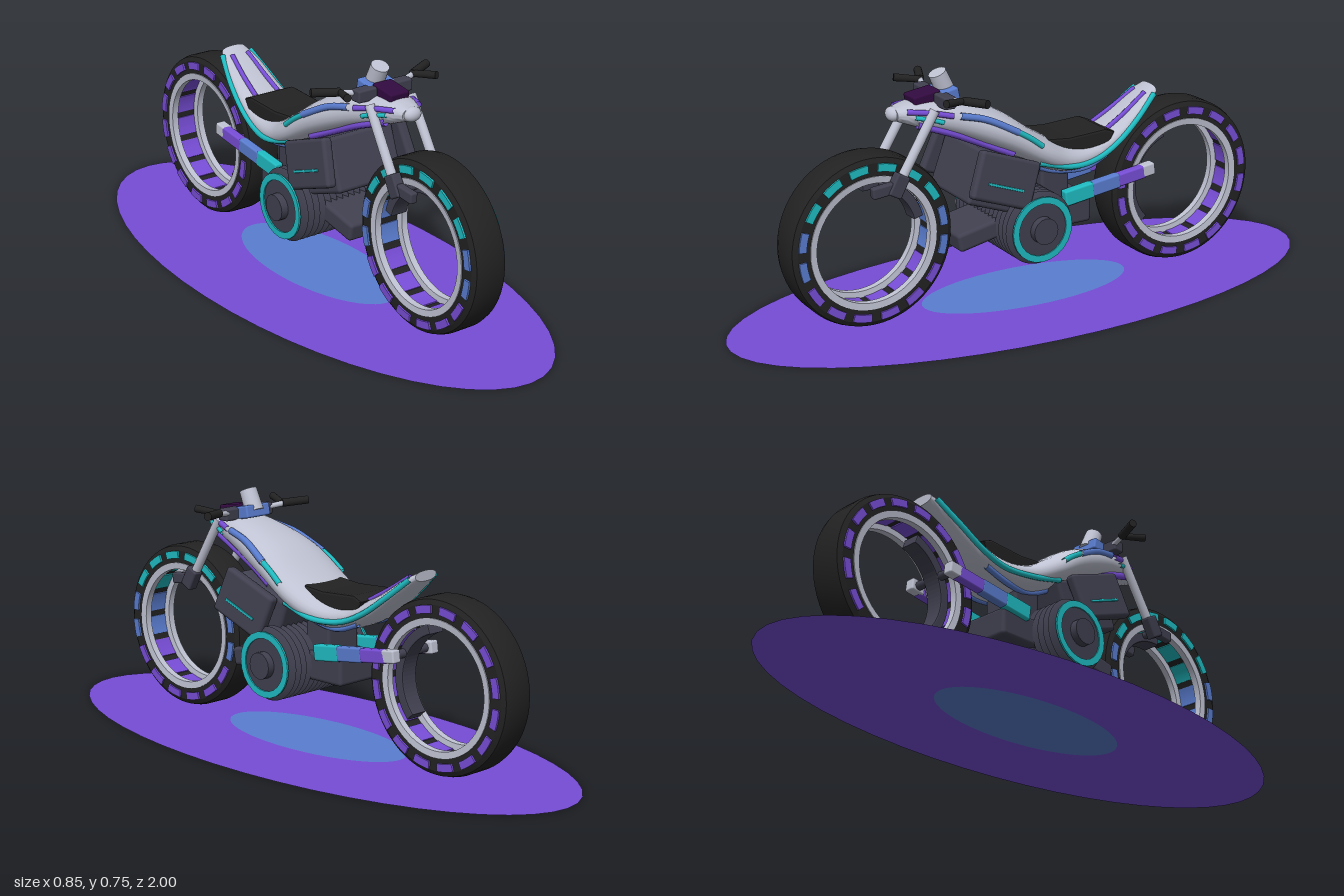
import * as THREE from 'three';
import { toCreasedNormals } from 'three/addons/utils/BufferGeometryUtils.js';
import { RoundedBoxGeometry } from 'three/addons/geometries/RoundedBoxGeometry.js';

const mat = (name, color, side = THREE.FrontSide) => {
  const m = new THREE.MeshStandardMaterial({ color, side });
  m.name = name;
  return m;
};

export function createModel() {
  const root = new THREE.Group();
  root.name = 'hublessMotorcycle';
  const light = mat('silverPaint', 0xbfc2d2);
  const dark = mat('graphite', 0x404050);
  const black = mat('rubber', 0x222222);
  const cyan = mat('cyanGlow', 0x1fbcc2, THREE.DoubleSide);
  const purple = mat('purpleGlow', 0x774dd6, THREE.DoubleSide);
  const blue = mat('blueGlow', 0x5a7dd0, THREE.DoubleSide);
  const plum = mat('plumGlass', 0x320a40);

  const add = (name, geo, material, x = 0, y = 0, z = 0, rx = 0, parent = root) => {
    const m = new THREE.Mesh(geo, material);
    m.name = name;
    m.position.set(x, y, z);
    m.rotation.x = rx;
    parent.add(m);
    return m;
  };
  const box = (w, h, d, r = 0.006) => new RoundedBoxGeometry(w, h, d, 2, r);
  // cylinder running between two points
  const rod = (name, a, b, r1, r2, material) => {
    const A = new THREE.Vector3(...a), B = new THREE.Vector3(...b), d = B.clone().sub(A);
    const m = add(name, new THREE.CylinderGeometry(r2, r1, d.length(), 16), material);
    m.position.copy(A).add(B).multiplyScalar(0.5);
    m.quaternion.setFromUnitVectors(new THREE.Vector3(0, 1, 0), d.normalize());
    return m;
  };
  // lathe turned around the x axis
  const latheX = (pts, seg = 64) => toCreasedNormals(new THREE.LatheGeometry(
    pts.map(p => new THREE.Vector2(...p)), seg).rotateZ(-Math.PI / 2), 0.5);
  // outline in (z, y), extruded evenly along x
  const slab = (shape, width, bevel = 0) => {
    const g = new THREE.ExtrudeGeometry(shape, {
      depth: width - 2 * bevel, curveSegments: 12, bevelEnabled: bevel > 0,
      bevelSize: bevel, bevelThickness: bevel, bevelSegments: 2 });
    return g.translate(0, 0, bevel - width / 2).rotateY(-Math.PI / 2);
  };
  const sector = (r0, r1, a0, a1) => {
    const s = new THREE.Shape();
    s.absarc(0, 0, r1, a0, a1, false);
    s.absarc(0, 0, r0, a1, a0, true);
    s.closePath();
    return s;
  };
  const rad = THREE.MathUtils.degToRad;

  // glowing ground oval with a smaller oval inside
  const oval = (rx, rz) => new THREE.Shape().absellipse(0, 0, rx, rz, 0, Math.PI * 2);
  const outer = oval(0.425, 1);
  outer.holes.push(oval(0.155, 0.36));
  add('groundOval', new THREE.ShapeGeometry(outer, 24).rotateX(-Math.PI / 2), purple, 0, 0.002, 0);
  add('innerOval', new THREE.ShapeGeometry(oval(0.155, 0.36), 24).rotateX(-Math.PI / 2), blue, 0, 0.002, 0);

  // hubless wheels
  const tire = latheX([[0.207, -0.06], [0.248, -0.06], [0.262, -0.052], [0.267, -0.035],
    [0.267, 0.035], [0.262, 0.052], [0.248, 0.06], [0.207, 0.06], [0.207, -0.06]]);
  const rim = latheX([[0.187, -0.011], [0.208, -0.013], [0.208, 0.013], [0.187, 0.011], [0.187, -0.011]]);
  const wheel = (name, z, tint, arcFrom, arcTo) => {
    const g = new THREE.Group();
    g.name = name;
    g.position.set(0, 0.272, z);
    root.add(g);
    add('tire', tire, black, 0, 0, 0, 0, g);
    for (const s of [1, -1]) add('rim', rim, light, s * 0.05, 0, 0, 0, g);
    for (let i = 0; i < 16; i++) {
      const a = (i + 0.5) * Math.PI / 8, h = 0.128, m = tint(Math.sin(a));
      add('sideLight', slab(sector(0.222, 0.246, a - h, a + h), 0.132), m, 0, 0, 0, 0, g);
      add('innerLight', slab(sector(0.203, 0.212, a - h - 0.02, a + h + 0.02), 0.07), m, 0, 0, 0, 0, g);
    }
    add('hubArc', slab(sector(0.16, 0.183, rad(arcFrom), rad(arcTo)), 0.06, 0.004), dark, 0, 0, 0, 0, g);
  };
  wheel('frontWheel', 0.555, s => (s > 0.5 ? cyan : s > -0.4 ? blue : purple), 85, 165);
  wheel('rearWheel', -0.55, () => purple, -42, 70);

  // body: lofted sections of z, top, bottom, half width
  const sections = [[0.455, 0.66, 0.62, 0.035], [0.38, 0.672, 0.59, 0.068], [0.27, 0.662, 0.55, 0.1],
    [0.12, 0.61, 0.48, 0.132], [0, 0.53, 0.415, 0.138], [-0.1, 0.475, 0.38, 0.12],
    [-0.2, 0.468, 0.385, 0.1], [-0.3, 0.505, 0.435, 0.085], [-0.4, 0.57, 0.52, 0.065], [-0.455, 0.6, 0.568, 0.045]];
  const line = f => new THREE.CatmullRomCurve3(sections.map(f), false, 'catmullrom');
  const heights = line(s => new THREE.Vector3(s[0], s[1], s[2]));
  const widths = line(s => new THREE.Vector3(s[3], 0, 0));
  const section = t => {
    const h = heights.getPoint(t);
    return { z: h.x, cy: (h.y + h.z) / 2, hy: (h.y - h.z) / 2, w: widths.getPoint(t).x };
  };
  const P = 2.3, N = 48, R = 32, pos = [], idx = [];
  const pw = v => Math.sign(v) * Math.abs(v) ** (2 / P);
  for (let i = 0; i <= N; i++) {
    const s = section(i / N);
    for (let j = 0; j < R; j++) {
      const a = j / R * Math.PI * 2;
      pos.push(s.w * pw(Math.cos(a)), s.cy + s.hy * pw(Math.sin(a)), s.z);
      if (i < N) {
        const p = i * R + j, q = i * R + (j + 1) % R;
        idx.push(p, p + R, q, q, p + R, q + R);
      }
    }
  }
  for (let j = 1; j < R - 1; j++) idx.push(0, j, j + 1, N * R, N * R + j + 1, N * R + j);
  const bodyGeo = new THREE.BufferGeometry();
  bodyGeo.setAttribute('position', new THREE.Float32BufferAttribute(pos, 3));
  bodyGeo.setIndex(idx);
  add('body', toCreasedNormals(bodyGeo, 0.7), light);

  // trim lines given in (z, y) and laid onto the body side
  const onBody = (z, y) => {
    let a = 0, b = 1;
    for (let i = 0; i < 24; i++) section((a + b) / 2).z > z ? a = (a + b) / 2 : b = (a + b) / 2;
    const s = section(a), v = THREE.MathUtils.clamp((y - s.cy) / s.hy, -0.93, 0.93);
    return new THREE.Vector3(s.w * (1 - Math.abs(v) ** P) ** (1 / P) + 0.003, s.cy + s.hy * v, z);
  };
  const trim = (name, pts, material, r = 0.009) => {
    for (const s of [1, -1]) {
      const curve = new THREE.CatmullRomCurve3(pts.map(p => onBody(...p)).map(p => p.setX(p.x * s)));
      add(name, new THREE.TubeGeometry(curve, 24, r, 8), material);
    }
  };
  trim('noseTrim', [[0.43, 0.652], [0.36, 0.645], [0.3, 0.632]], purple);
  trim('noseLight', [[0.41, 0.635], [0.36, 0.625], [0.33, 0.615]], cyan, 0.007);
  trim('tankTrim', [[0.28, 0.63], [0.2, 0.61], [0.1, 0.56]], blue, 0.011);
  trim('tankLight', [[0.1, 0.56], [0.06, 0.535], [0.02, 0.505]], cyan);
  trim('lowerTrim', [[0.4, 0.61], [0.3, 0.575], [0.2, 0.53], [0.1, 0.485]], purple, 0.012);
  trim('tailLight', [[-0.44, 0.578], [-0.36, 0.51], [-0.28, 0.452], [-0.2, 0.418], [-0.1, 0.415], [0.02, 0.445]], cyan);
  trim('tailTrim', [[-0.42, 0.59], [-0.35, 0.535], [-0.27, 0.488]], purple, 0.008);
  trim('bellyTrim', [[0.03, 0.41], [-0.06, 0.392], [-0.17, 0.388], [-0.25, 0.415]], blue, 0.01);

  // saddle
  const saddle = new THREE.Shape([[-0.04, 0.495], [-0.11, 0.488], [-0.24, 0.495], [-0.265, 0.485],
    [-0.25, 0.46], [-0.15, 0.445], [-0.04, 0.46]].map(p => new THREE.Vector2(...p)));
  add('seat', slab(saddle, 0.168, 0.008), black);

  // headlamp, dash and handlebar
  add('headlamp', new THREE.SphereGeometry(0.03, 24, 16).scale(1, 0.75, 0.7), light, 0, 0.64, 0.455);
  add('dashGlass', box(0.07, 0.035, 0.09), plum, 0, 0.678, 0.355, 0.15);
  add('dashSides', box(0.1, 0.04, 0.06), blue, 0, 0.68, 0.285, 0.2);
  rod('dashPod', [0, 0.68, 0.275], [0, 0.745, 0.305], 0.03, 0.028, light);
  add('handlebarClamp', box(0.2, 0.038, 0.04), dark, 0, 0.675, 0.315);
  for (const s of [1, -1]) {
    rod('handlebar', [s * 0.07, 0.678, 0.31], [s * 0.15, 0.688, 0.285], 0.009, 0.009, light);
    rod('grip', [s * 0.135, 0.688, 0.29], [s * 0.215, 0.693, 0.255], 0.013, 0.013, black);
    rod('lever', [s * 0.135, 0.688, 0.29], [s * 0.165, 0.698, 0.365], 0.01, 0.012, black);

    // front fork
    rod('forkLeg', [s * 0.077, 0.655, 0.355], [s * 0.08, 0.44, 0.485], 0.015, 0.015, light);
    add('forkFoot', box(0.034, 0.07, 0.045), dark, s * 0.082, 0.447, 0.485, -0.5);
    add('forkBracket', box(0.026, 0.035, 0.1), dark, s * 0.08, 0.44, 0.52, 0.1);

    // swingarm in three glowing lengths
    [cyan, blue, purple].forEach((m, i) =>
      add('swingarm', box(0.03, 0.05 - i * 0.004, 0.105), m, s * 0.085, 0.31 + i * 0.013, -0.14 - i * 0.097, 0.13));
    add('swingarmEnd', box(0.034, 0.04, 0.05), light, s * 0.083, 0.345, -0.395, 0.13);

    // side covers beside the engine
    const cover = new THREE.Group();
    cover.name = 'sideCover';
    cover.position.set(s * 0.148, 0.425, 0.16);
    cover.rotation.set(-0.35, 0, s * 0.12);
    root.add(cover);
    add('coverPanel', box(0.035, 0.15, 0.215, 0.012), dark, 0, 0, 0, 0, cover);
    add('coverLight', box(0.006, 0.008, 0.13, 0.002), cyan, s * 0.018, -0.02, 0, 0, cover);

    // round engine caps
    const cap = (name, r, x0, x1) => rod(name, [s * x0, 0.255, 0.045], [s * x1, 0.255, 0.045], r, r, dark);
    cap('engineCap', 0.085, 0.15, 0.176);
    cap('engineHub', 0.042, 0.17, 0.2);
    add('engineRing', slab(sector(0.083, 0.104, 0, Math.PI * 2), 0.006), cyan, s * 0.177, 0.255, 0.045);
  }
  rod('rearAxleBar', [-0.09, 0.345, -0.395], [0.09, 0.345, -0.395], 0.014, 0.014, dark);
  rod('frontAxleBar', [-0.09, 0.443, 0.51], [0.09, 0.443, 0.51], 0.012, 0.012, dark);

  // finned engine drum and blocks around it
  const fins = [[0, -0.17]];
  for (let i = 0; i <= 30; i++) fins.push([i % 2 ? 0.116 : 0.097, -0.165 + i * 0.011]);
  fins.push([0, 0.17]);
  add('engineDrum', latheX(fins, 48), dark, 0, 0.255, 0.045);
  add('engineBlock', box(0.24, 0.17, 0.22, 0.012), dark, 0, 0.4, 0.14, -0.35);
  add('frontBlock', box(0.18, 0.06, 0.17, 0.012), dark, 0, 0.24, 0.2, 0.2);
  add('rearBlock', box(0.17, 0.09, 0.16, 0.012), dark, 0, 0.255, -0.11);
  add('frameSpine', box(0.13, 0.14, 0.1, 0.01), dark, 0, 0.345, -0.07);
  return root;
}
